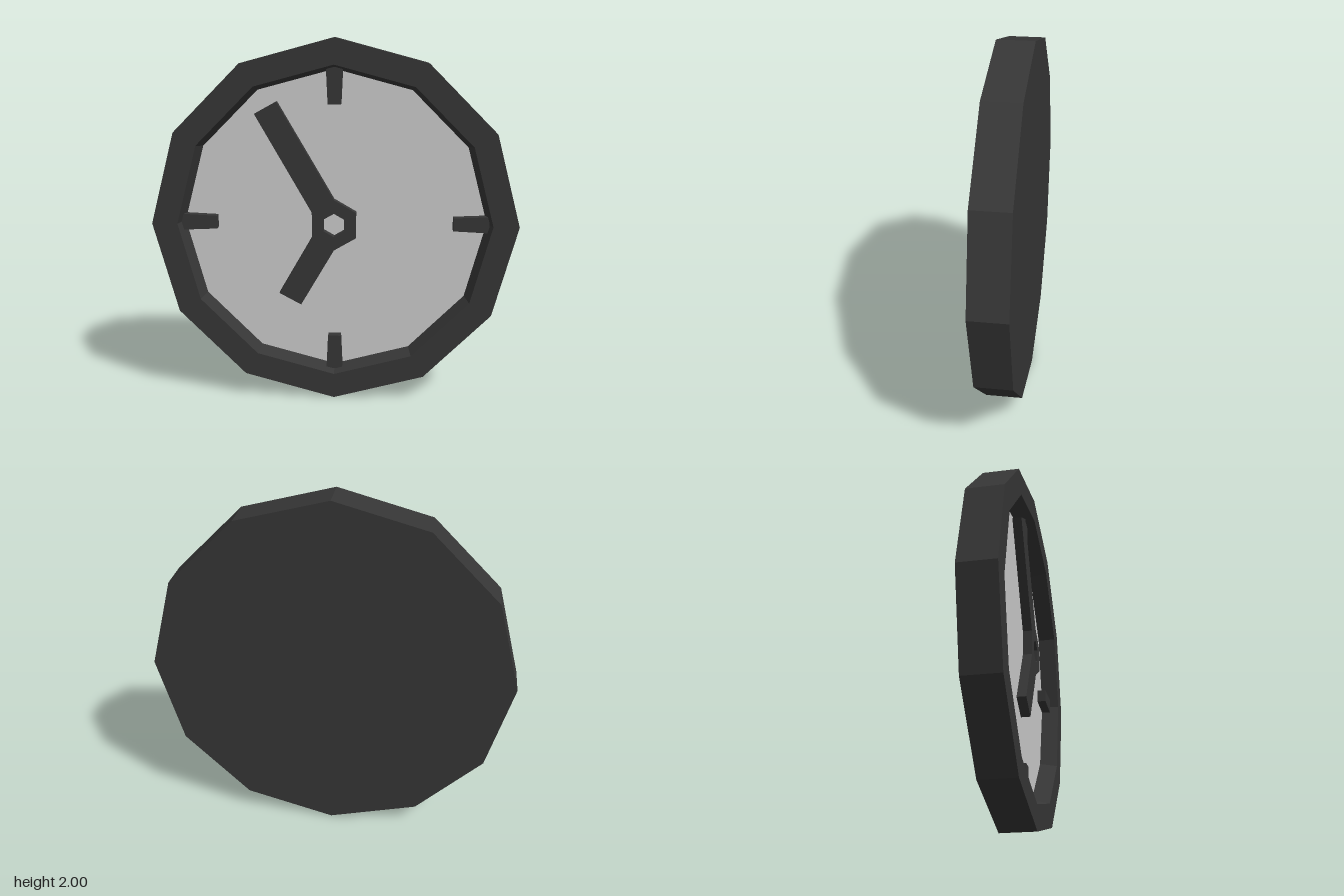
import * as THREE from 'three';

const dark = new THREE.MeshStandardMaterial({ color: 0x363636, flatShading: true });
const grey = new THREE.MeshStandardMaterial({ color: 0xcccccc, flatShading: true });

function addPart(parent, name, geometry, material) {
  const mesh = new THREE.Mesh(geometry, material);
  mesh.name = name;
  parent.add(mesh);
  return mesh;
}

const points = (list) => list.map(([x, y]) => new THREE.Vector2(x, y));

function slab(shape, depth) {
  return new THREE.ExtrudeGeometry(shape, { depth, bevelEnabled: false });
}

export function createModel() {
  const clock = new THREE.Group();
  clock.name = 'wallClock';
  const body = new THREE.Group();
  body.name = 'clockBody';
  body.position.y = 1;
  clock.add(body);

  // Twelve-sided casing: closed back, outer wall, front rim, sloped inner wall
  const profile = points([[0, -0.1], [1, -0.1], [1, 0.1], [0.86, 0.1], [0.835, 0]]);
  addPart(body, 'casing', new THREE.LatheGeometry(profile, 12).rotateX(Math.PI / 2), dark);

  // Recessed dial
  addPart(body, 'dial', new THREE.CircleGeometry(0.835, 12), grey);

  // Four tapered hour markers, wider towards the rim
  const marker = slab(new THREE.Shape(points(
    [[-0.036, 0.65], [0.036, 0.65], [0.045, 0.845], [-0.045, 0.845]])), 0.05);
  for (let i = 0; i < 4; i++) {
    addPart(body, 'hourMarker' + (i + 1), marker, dark).rotation.z = -i * Math.PI / 2;
  }

  // Both hands grow out of two edges of a hexagonal hub with a hexagonal hole
  const hands = new THREE.Shape(points([
    [0.12, -0.07], [0.12, 0.07], [0, 0.14],
    [-0.307, 0.667], [-0.425, 0.602], // long hand tip
    [-0.12, 0.07], [-0.12, -0.07],
    [-0.302, -0.387], [-0.182, -0.452], // short hand tip
    [0, -0.14],
  ]));
  const hole = [];
  for (let i = 0; i < 6; i++) {
    const a = Math.PI / 6 - i * Math.PI / 3;
    hole.push([0.065 * Math.cos(a), 0.065 * Math.sin(a)]);
  }
  hands.holes.push(new THREE.Path(points(hole)));
  addPart(body, 'hands', slab(hands, 0.05), dark).position.z = 0.05;

  return clock;
}
